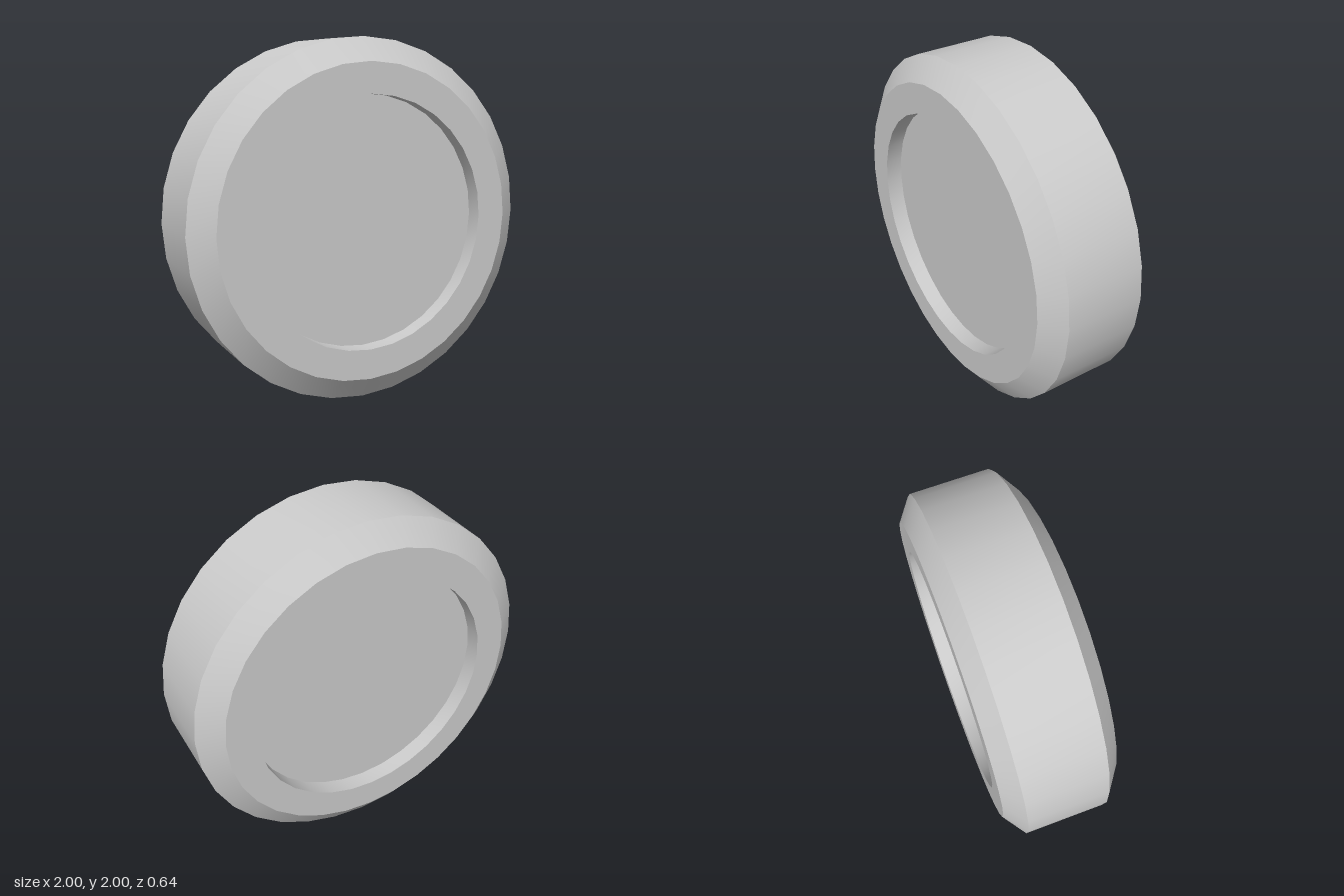
import * as THREE from 'three';
import { toCreasedNormals } from 'three/addons/utils/BufferGeometryUtils.js';

const SIDES = 32;
const RECESS_RADIUS = 0.7;
const FLOOR_Z = 0.225;

export function createModel() {
  const group = new THREE.Group();
  group.name = 'disc';
  const material = new THREE.MeshStandardMaterial({ color: 0xcccccc });

  // Chamfered rim, including the recess walls on both faces
  const profile = [
    [RECESS_RADIUS, -FLOOR_Z], [RECESS_RADIUS, -0.32], [0.87, -0.32], [1, -0.225],
    [1, 0.225], [0.87, 0.32], [RECESS_RADIUS, 0.32], [RECESS_RADIUS, FLOOR_Z],
  ].map(([r, y]) => new THREE.Vector2(r, y));
  const rimGeometry = new THREE.LatheGeometry(profile, SIDES).rotateX(Math.PI / 2);
  const rim = new THREE.Mesh(toCreasedNormals(rimGeometry, 0.5), material);
  rim.name = 'rim';
  rim.position.y = 1;
  group.add(rim);

  // Flat recessed face on each side
  for (const [name, side] of [['frontFace', 1], ['backFace', -1]]) {
    const face = new THREE.Mesh(new THREE.CircleGeometry(RECESS_RADIUS, SIDES), material);
    face.name = name;
    face.position.set(0, 1, side * FLOOR_Z);
    if (side < 0) face.rotation.y = Math.PI;
    group.add(face);
  }

  return group;
}
